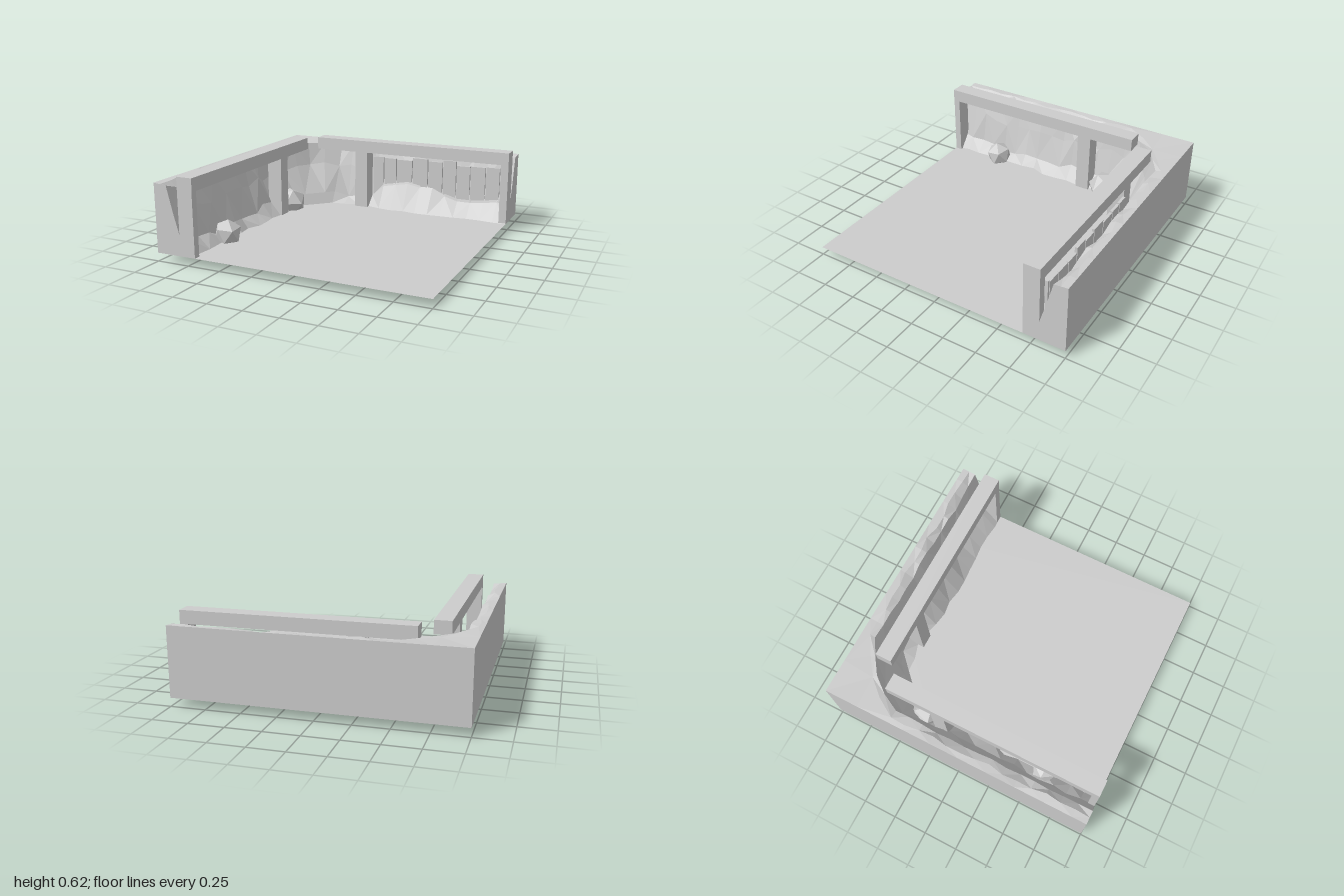
import * as THREE from 'three';

const FLOOR = 0.063;

export function createModel() {
  const group = new THREE.Group();
  group.name = 'mineCorner';
  const stone = new THREE.MeshStandardMaterial({ name: 'plain grey', color: 0xcccccc, side: THREE.DoubleSide, flatShading: true });

  let seed = 7;
  const jitter = (amount) => {
    seed = (seed * 16807) % 2147483647;
    return (seed / 2147483647 - 0.5) * 2 * amount;
  };
  const add = (geometry, name, parent = group) => {
    const mesh = new THREE.Mesh(geometry, stone);
    mesh.name = name;
    parent.add(mesh);
    return mesh;
  };
  const box = (name, x0, x1, y0, y1, z0, z1, parent) => {
    const mesh = add(new THREE.BoxGeometry(x1 - x0, y1 - y0, z1 - z0), name, parent);
    mesh.position.set((x0 + x1) / 2, (y0 + y1) / 2, (z0 + z1) / 2);
    return mesh;
  };

  // Rock wall: cross-sections swept along the L, cutting the corner diagonally
  const ARM = 14, CORNER = 4, LAST = ARM * 2 + CORNER;
  const place = (i, d, y) => {
    if (i <= ARM) return [-1 + d, y, 1 - 1.5 * i / ARM];
    if (i >= ARM + CORNER) return [-0.5 + 1.5 * (i - ARM - CORNER) / ARM, y, -1 + d];
    const t = (i - ARM) / CORNER;
    if (d === 0) return t <= 0.5 ? [-1, y, -0.5 - t] : [-1 + (t - 0.5), y, -1];
    const bow = 0.04 * Math.sin(Math.PI * t) * (d < 0.2 ? 1 : 0);
    return [-1 + d + t * (0.5 - d) - bow, y, -0.5 - t * (0.5 - d) - bow];
  };
  const pile = [0.23, 0.25, 0.27, 0.25, 0.25, 0.2, 0.17, 0.17, 0.18, 0.2, 0.18];
  const sections = [];
  for (let i = 0; i <= LAST; i++) {
    const end = i === 0 || i === LAST;
    const corner = i >= ARM && i <= ARM + CORNER;
    const k = end ? 0 : 1;
    const p = i - (LAST - 10);
    const heap = p >= 0;
    const toeY = end ? 0.18 : heap ? pile[p] : corner ? 0.15 : 0.13 + jitter(0.04);
    const toeD = corner ? 0.25 : heap ? 0.2 : 0.2 + k * jitter(0.012);
    const footD = heap ? 0.31 + k * jitter(0.015) : corner ? 0.3 : 0.27 + jitter(0.03);
    sections.push([
      place(i, 0, FLOOR),
      place(i, 0, 0.56),
      place(i, 0.05 + k * jitter(0.015), 0.555 + k * jitter(0.008)),
      place(i, 0.1 + k * jitter(0.006), end ? 0.55 : 0.53 + jitter(0.025)),
      place(i, 0.148 + k * jitter(0.014), 0.36 + k * jitter(0.03)),
      place(i, toeD, toeY),
      place(i, footD, FLOOR),
    ]);
  }
  const rows = sections[0].length;
  const index = [];
  for (let i = 0; i < LAST; i++) {
    for (let j = 0; j < rows - 1; j++) {
      const a = i * rows + j, b = a + 1, c = a + rows, d = c + 1;
      if ((i + j) % 2) index.push(a, b, c, b, d, c);
      else index.push(a, b, d, a, d, c);
    }
  }
  // Flat caps at the two open ends
  for (let j = 1; j < rows - 1; j++) {
    const e = LAST * rows;
    index.push(0, j + 1, j, e, e + j, e + j + 1);
  }
  const rock = new THREE.BufferGeometry();
  rock.setAttribute('position', new THREE.Float32BufferAttribute(sections.flat(2), 3));
  rock.setIndex(index);
  const rockFlat = rock.toNonIndexed();
  rockFlat.computeVertexNormals();
  add(rockFlat, 'rockWall');

  // Floor meets the foot of the rock
  const outline = sections.map((s) => new THREE.Vector2(s[rows - 1][0], -s[rows - 1][2]));
  outline.push(new THREE.Vector2(1, 1 - outline[LAST].y > 0 ? outline[LAST].y : 0), new THREE.Vector2(1, -1));
  const floor = add(new THREE.ShapeGeometry(new THREE.Shape(outline)).rotateX(-Math.PI / 2), 'floor');
  floor.position.y = FLOOR;

  // Timber frames: beam on two posts, one along each wall
  const backFrame = new THREE.Group();
  backFrame.name = 'backFrame';
  box('beam', -0.625, 1, 0.525, 0.62, -0.81, -0.69, backFrame);
  box('innerPost', -0.282, -0.175, FLOOR, 0.53, -0.81, -0.692, backFrame);
  box('outerPost', 0.942, 1, FLOOR, 0.53, -0.81, -0.692, backFrame);
  const sideFrame = new THREE.Group();
  sideFrame.name = 'sideFrame';
  box('beam', -0.81, -0.69, 0.525, 0.62, -0.625, 1, sideFrame);
  box('innerPost', -0.81, -0.692, FLOOR, 0.53, -0.282, -0.175, sideFrame);
  box('outerPost', -0.81, -0.692, FLOOR, 0.53, 0.95, 1, sideFrame);
  group.add(backFrame, sideFrame);

  // Upright planks behind the back frame
  const edges = [-0.17, -0.07, 0.04, 0.18, 0.315, 0.44, 0.555, 0.67, 0.795, 0.91, 0.935];
  const tops = [0.475, 0.47, 0.465, 0.49, 0.475, 0.495, 0.46, 0.465, 0.47, 0.49];
  tops.forEach((top, i) => box('plank', edges[i] + 0.004, edges[i + 1] - 0.004, FLOOR + 0.01, top, -0.826, -0.806));

  // Loose boulders by the side wall
  [[-0.735, 0.113, -0.405, 0.125, 0.3], [-0.71, 0.127, 0.57, 0.103, 1.2]].forEach(([x, y, z, r, turn]) => {
    const boulder = add(new THREE.IcosahedronGeometry(r, 0), 'boulder');
    boulder.position.set(x, y, z);
    boulder.rotation.set(0.45, turn, 0.2);
  });

  return group;
}
